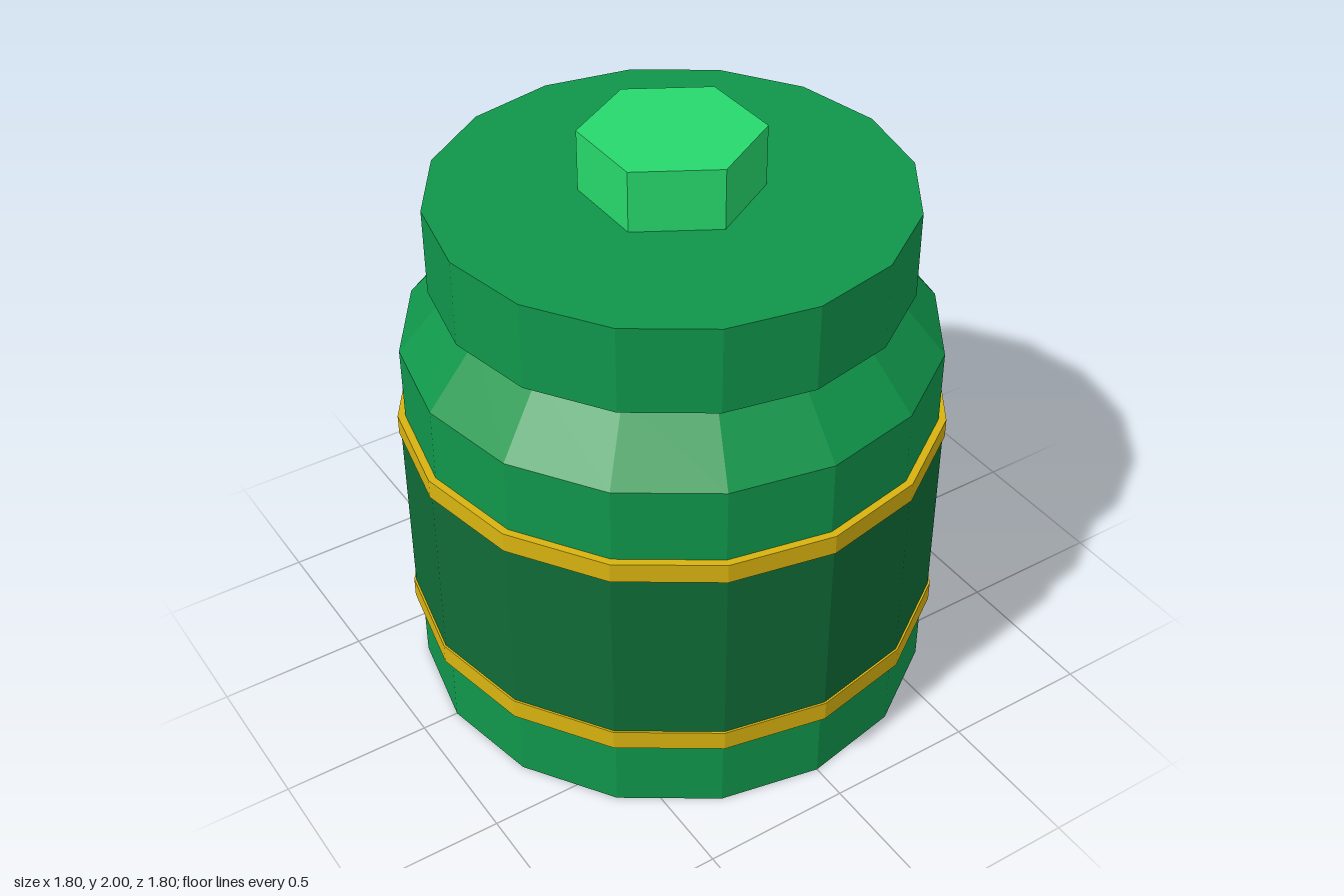
import * as THREE from 'three';

const flat = (name, color) => {
  const m = new THREE.MeshStandardMaterial({ color, flatShading: true });
  m.name = name;
  return m;
};

export function createModel() {
  const group = new THREE.Group();
  const green = flat('green', 0x10964b);
  const darkGreen = flat('dark green', 0x0f6b37);
  const gold = flat('gold', 0xd9b310);
  const brightGreen = flat('bright green', 0x27d86c);

  // Faceted drum section between two heights
  const drum = (name, material, y0, y1, r0, r1 = r0, sides = 16) => {
    const mesh = new THREE.Mesh(new THREE.CylinderGeometry(r1, r0, y1 - y0, sides), material);
    mesh.name = name;
    mesh.position.y = (y0 + y1) / 2;
    group.add(mesh);
  };

  // Jar body with sloping shoulder, one closed lathe
  const profile = [[0, 0], [0.875, 0], [0.875, 1.29], [0.7, 1.5], [0, 1.5]];
  const body = new THREE.Mesh(
    new THREE.LatheGeometry(profile.map(([x, y]) => new THREE.Vector2(x, y)), 16), green);
  body.name = 'body';
  group.add(body);

  // Dark wrap framed by two gold bands
  drum('wrap', darkGreen, 0.3, 1.0, 0.893);
  drum('lowerBand', gold, 0.26, 0.33, 0.9);
  drum('upperBand', gold, 0.968, 1.036, 0.9);

  // Overhanging lid and hexagonal knob
  drum('lid', green, 1.502, 1.795, 0.77);
  drum('knob', brightGreen, 1.79, 2.0, 0.29, 0.29, 6);

  return group;
}
